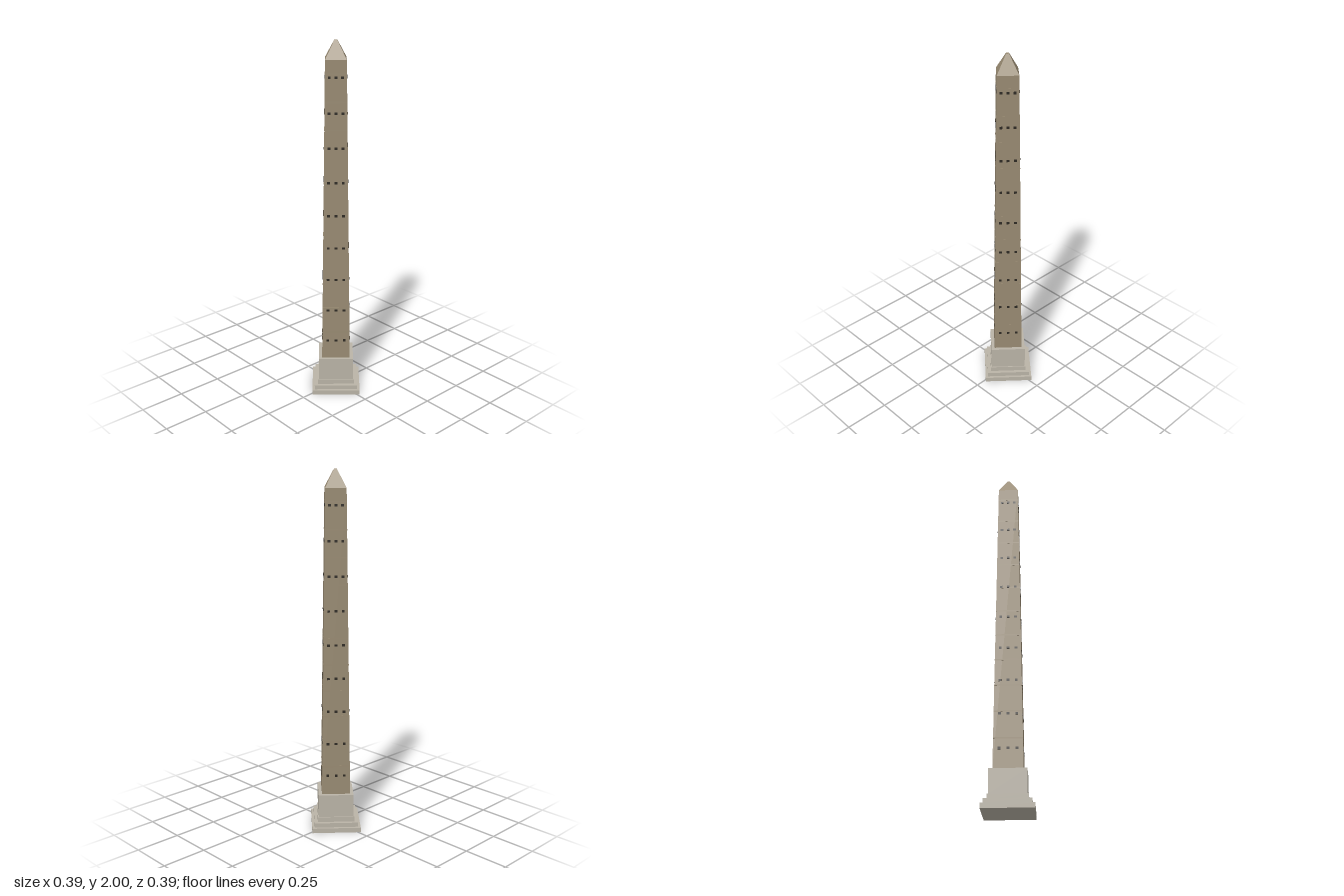
import * as THREE from 'three';

const SHAFT_BOTTOM = 0.21, SHAFT_TOP = 1.905;
const R_BOTTOM = 0.112, R_TOP = 0.079;

const material = (name, color) => {
  const m = new THREE.MeshStandardMaterial({ color });
  m.name = name;
  return m;
};

// Corner radius of the tapering shaft at height y
const shaftRadius = (y) =>
  THREE.MathUtils.mapLinear(y, SHAFT_BOTTOM, SHAFT_TOP, R_BOTTOM, R_TOP);

export function createModel() {
  const model = new THREE.Group();
  model.name = 'obelisk';
  const plinthStone = material('pale plinth stone', 0xbab4a7);
  const shaftStone = material('brown shaft stone', 0x988a72);
  const dark = material('dark opening', 0x2c2822);

  // Four-sided frustum with flat faces, given by corner radii and heights
  const frustum = (name, rBottom, rTop, y0, y1, mat) => {
    const geo = new THREE.CylinderGeometry(rTop, rBottom, y1 - y0, 4).toNonIndexed();
    geo.computeVertexNormals();
    const mesh = new THREE.Mesh(geo, mat);
    mesh.name = name;
    mesh.position.y = (y0 + y1) / 2;
    model.add(mesh);
  };

  // Stepped base and pedestal block
  frustum('baseStepLower', 0.193, 0.193, 0, 0.027, plinthStone);
  frustum('baseStepMiddle', 0.173, 0.173, 0.027, 0.052, plinthStone);
  frustum('baseStepUpper', 0.147, 0.147, 0.052, 0.08, plinthStone);
  frustum('pedestal', 0.139, 0.139, 0.08, SHAFT_BOTTOM, plinthStone);

  // Tapered shaft and pointed cap with a small flat tip
  frustum('shaft', R_BOTTOM, R_TOP, SHAFT_BOTTOM, SHAFT_TOP, shaftStone);
  frustum('cap', R_TOP, 0.011, SHAFT_TOP, 2, shaftStone);

  // Barely raised stone courses
  for (let i = 0; i < 11; i++) {
    const y = 0.37 + i * 0.146;
    frustum('course', shaftRadius(y) + 0.0008, shaftRadius(y + 0.008) + 0.0008, y, y + 0.008, shaftStone);
  }

  // Rows of three small openings on each face
  const tilt = Math.atan((R_BOTTOM - R_TOP) * Math.SQRT1_2 / (SHAFT_TOP - SHAFT_BOTTOM));
  const plate = new THREE.BoxGeometry(0.015, 0.013, 0.004);
  for (let face = 0; face < 4; face++) {
    const side = new THREE.Group();
    side.name = 'windowFace';
    side.rotation.y = Math.PI / 4 + face * Math.PI / 2;
    for (let row = 0; row < 9; row++) {
      const y = 0.32 + row * 0.1869;
      const apothem = shaftRadius(y) * Math.SQRT1_2;
      for (let col = -1; col <= 1; col++) {
        const w = new THREE.Mesh(plate, dark);
        w.name = 'window';
        w.position.set(col * apothem * 0.6, y, apothem);
        w.rotation.x = -tilt;
        side.add(w);
      }
    }
    model.add(side);
  }

  // The monument stands cornerwise, turned slightly
  model.rotation.y = 0.06;
  const root = new THREE.Group();
  root.name = 'monument';
  root.add(model);
  return root;
}
